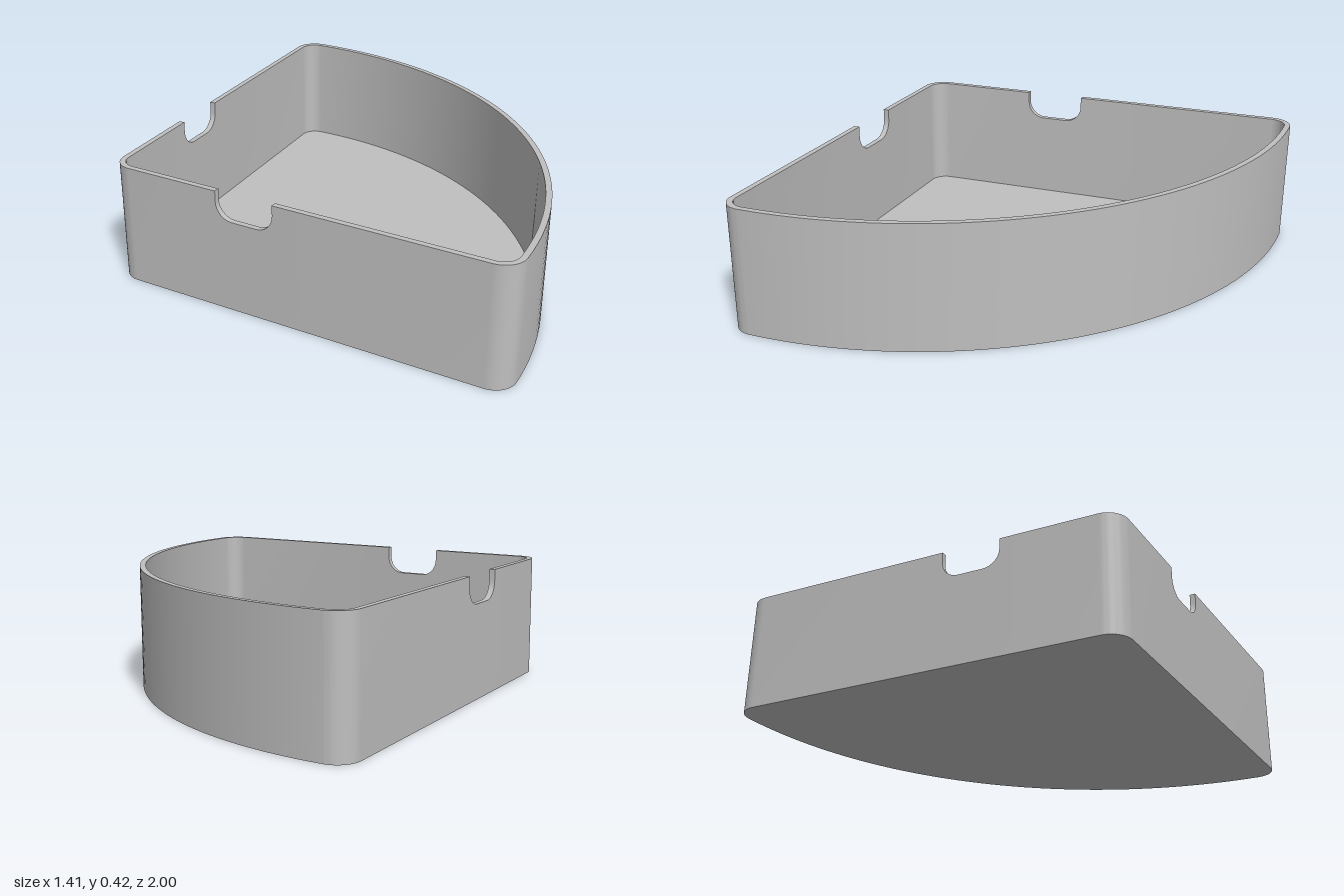
import * as THREE from 'three';
import { toCreasedNormals } from 'three/addons/utils/BufferGeometryUtils.js';

const HEIGHT = 0.42, FLOOR = 0.022, WALL = 0.02;
const ROUND = 0.075;                       // corner radius
const TIP = { x: -0.629, z: 0 };           // centres of the three rounded corners
const FRONT = { x: 0.243, z: 0.925 }, BACK = { x: 0.243, z: -0.925 };
const ARC = { x: -0.672, z: 0 }, ARC_R = 1.376;   // curved side
const NOTCH = { x: -0.3775, half: 0.105, bottom: 0.323, round: 0.06 };

// A station is a point on the outer outline, its outward normal and the rim height there.
function station(c, r, a, y = HEIGHT) {
  const nx = Math.cos(a), nz = Math.sin(a);
  return { x: c.x + r * nx, z: c.z + r * nz, nx, nz, y };
}

function arc(c, r, a0, a1, n) {
  return Array.from({ length: n + 1 }, (_, i) => station(c, r, a0 + (a1 - a0) * i / n));
}

// Stations of the U-shaped cut-out in the straight wall between two corners
function notch(from, to, a) {
  const t = (NOTCH.x - ROUND * Math.cos(a) - from.x) / (to.x - from.x);
  const mid = { x: from.x + t * (to.x - from.x), z: from.z + t * (to.z - from.z) };
  const side = [[NOTCH.half, HEIGHT]];
  for (let i = 0; i <= 8; i++) {
    const b = i / 8 * Math.PI / 2;
    side.push([NOTCH.half - NOTCH.round * (1 - Math.cos(b)),
      NOTCH.bottom + NOTCH.round * (1 - Math.sin(b))]);
  }
  const profile = [...side.map(([s, y]) => [-s, y]), ...side.reverse()];
  return profile.map(([s, y]) => station(
    { x: mid.x - s * Math.sin(a), z: mid.z + s * Math.cos(a) }, ROUND, a, y));
}

function outline() {
  const bend = Math.atan2(FRONT.z - ARC.z, FRONT.x - ARC.x);
  const wall = Math.PI / 2 + Math.atan2(FRONT.z - TIP.z, FRONT.x - TIP.x);
  const full = 2 * Math.PI;
  return [
    ...arc(ARC, ARC_R, -bend, bend, 48),
    ...arc(FRONT, ROUND, bend, wall, 14).slice(1),
    ...notch(FRONT, TIP, wall),
    ...arc(TIP, ROUND, wall, full - wall, 14),
    ...notch(TIP, BACK, full - wall),
    ...arc(BACK, ROUND, full - wall, full - bend, 14).slice(0, -1),
  ];
}

// Outer face, rim and inner face, swept around the outline
function wallGeometry(stations) {
  const sections = stations.map(({ x, z, nx, nz, y }) => {
    const ix = x - nx * WALL, iz = z - nz * WALL;
    return [[x, 0, z], [x, y, z], [ix, y, iz], [ix, FLOOR, iz]];
  });
  const pos = [];
  sections.forEach((a, i) => {
    const b = sections[(i + 1) % sections.length];
    for (let k = 0; k < 3; k++) {
      pos.push(...a[k], ...a[k + 1], ...b[k], ...b[k], ...a[k + 1], ...b[k + 1]);
    }
  });
  const g = new THREE.BufferGeometry();
  g.setAttribute('position', new THREE.Float32BufferAttribute(pos, 3));
  return toCreasedNormals(g, 0.5);
}

// Flat panel filling the outline, facing up or down
function panel(stations, inset, y, up) {
  const flip = up ? -1 : 1;
  const pts = stations.filter(s => s.y === HEIGHT)
    .map(s => new THREE.Vector2(s.x - s.nx * inset, flip * (s.z - s.nz * inset)));
  return new THREE.ShapeGeometry(new THREE.Shape(pts))
    .rotateX(flip * Math.PI / 2).translate(0, y, 0);
}

export function createModel() {
  const grey = new THREE.MeshStandardMaterial({ color: 0xbfbfbf });
  grey.name = 'light grey';
  const group = new THREE.Group();
  group.name = 'wedgeTray';
  const add = (name, geometry) => {
    const mesh = new THREE.Mesh(geometry, grey);
    mesh.name = name;
    group.add(mesh);
  };
  const stations = outline();
  add('wall', wallGeometry(stations));
  add('floorTop', panel(stations, WALL, FLOOR, true));
  add('floorUnderside', panel(stations, 0, 0, false));
  return group;
}
